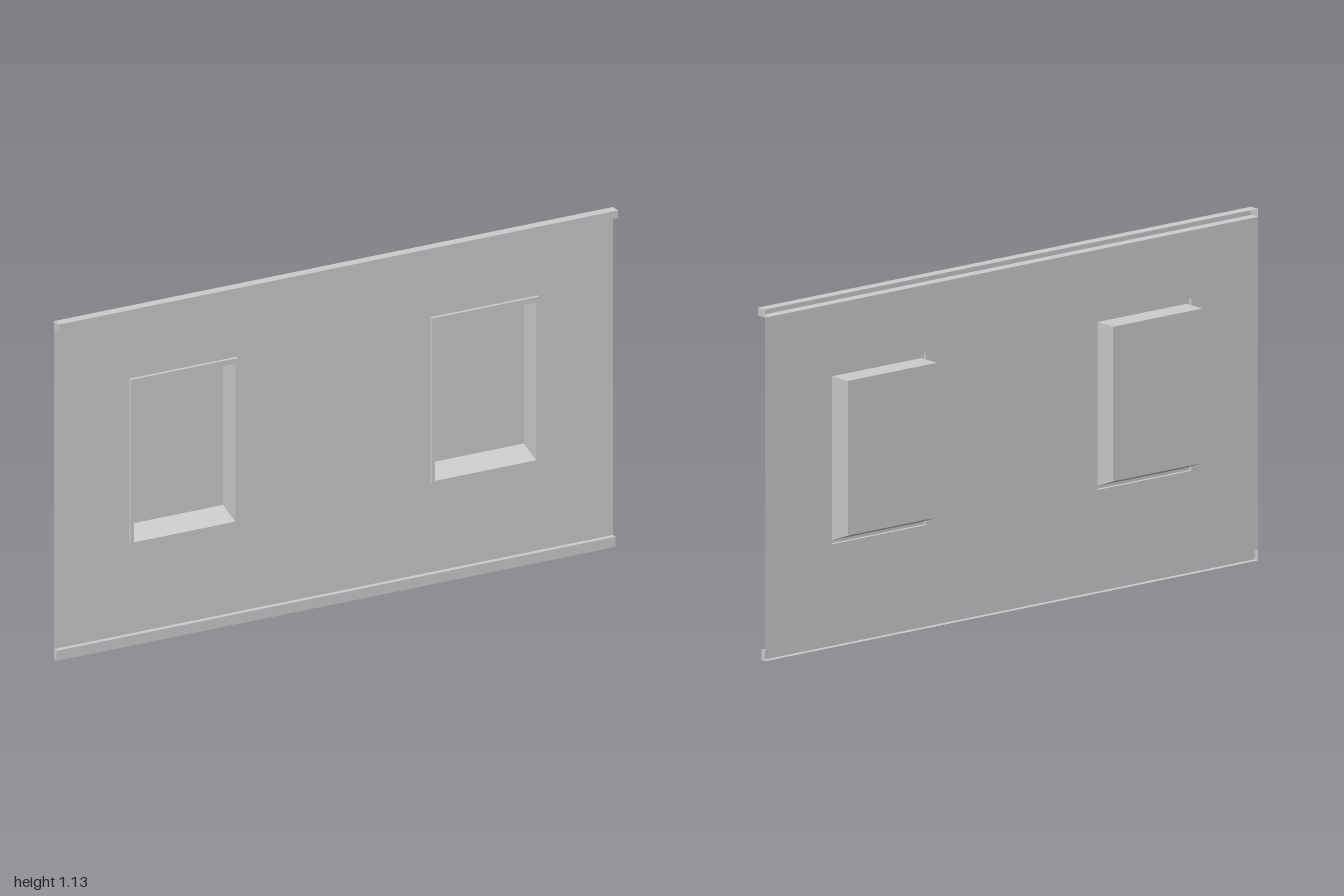
import * as THREE from 'three';

const WALL_Z = 0.016;

const material = new THREE.MeshStandardMaterial({
  color: 0xcccccc, flatShading: true, side: THREE.DoubleSide,
});

// Folded sheet: walls between successive rectangles [x0, x1, y0, y1, z], closed at the last one
function foldedSheet(name, sections) {
  const loops = sections.map(([x0, x1, y0, y1, z]) =>
    [[x0, y0, z], [x1, y0, z], [x1, y1, z], [x0, y1, z]]);
  const points = [];
  const quad = (a, b, c, d) => points.push(...a, ...b, ...c, ...a, ...c, ...d);
  for (let s = 0; s + 1 < loops.length; s++) {
    for (let i = 0; i < 4; i++) {
      const j = (i + 1) % 4;
      quad(loops[s][i], loops[s][j], loops[s + 1][j], loops[s + 1][i]);
    }
  }
  quad(...loops[loops.length - 1]);
  const geometry = new THREE.BufferGeometry();
  geometry.setAttribute('position', new THREE.Float32BufferAttribute(points, 3));
  geometry.computeVertexNormals();
  const mesh = new THREE.Mesh(geometry, material);
  mesh.name = name;
  return mesh;
}

// Rectangle outline as a path, for the wall and its openings
function rectangle(path, x0, x1, y0, y1) {
  path.moveTo(x0, y0);
  path.lineTo(x1, y0);
  path.lineTo(x1, y1);
  path.lineTo(x0, y1);
  path.closePath();
  return path;
}

export function createModel() {
  const model = new THREE.Group();
  model.name = 'wallPanel';

  const wallShape = rectangle(new THREE.Shape(), -1, 1, 0.034, 1.104);

  // Mirrored windows: raised rim, recess with sloping sill, closed back
  for (const side of [-1, 1]) {
    const cx = side * 0.538;
    const outer = [cx - 0.192, cx + 0.192, 0.332, 0.886];
    const left = cx - 0.181, right = cx + 0.181;
    wallShape.holes.push(rectangle(new THREE.Path(), ...outer));
    model.add(foldedSheet(side > 0 ? 'leftWindow' : 'rightWindow', [
      [...outer, WALL_Z],
      [...outer, 0.027],
      [left, right, 0.341, 0.868, 0.027],
      [left, right, 0.371, 0.868, -0.05],
    ]));
  }

  // Thin wall sheet with window openings
  const wall = new THREE.Mesh(new THREE.ShapeGeometry(wallShape), material);
  wall.name = 'wall';
  wall.position.z = WALL_Z;
  model.add(wall);

  // Rails above and below the wall, open at the back
  model.add(foldedSheet('topRail', [
    [-1, 1, 1.104, 1.13, WALL_Z], [-1, 1, 1.104, 1.13, 0.05],
  ]));
  model.add(foldedSheet('bottomRail', [
    [-1, 1, 0, 0.034, WALL_Z], [-1, 1, 0, 0.034, 0.033],
  ]));

  return model;
}
